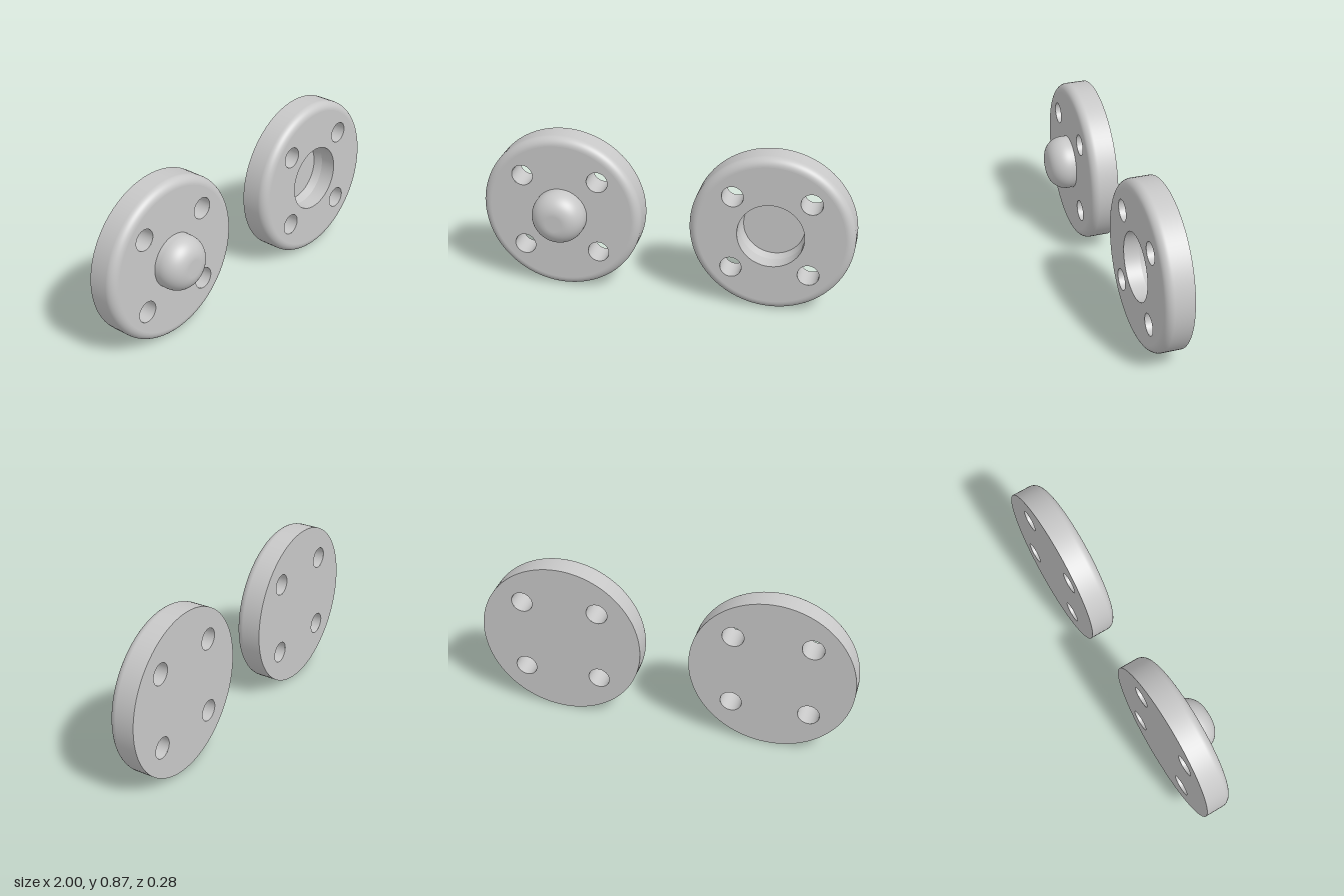
import * as THREE from 'three';

const R = 0.435, BACK = -0.138, FRONT = 0.008; // disc radius and faces
const ROUND = 0.045, HOLE_R = 0.057, HOLE_AT = 0.205;
const SOCKET_R = 0.177, FLOOR_R = 0.163, FLOOR_Z = -0.12;

export function createModel() {
  const grey = new THREE.MeshStandardMaterial({ color: 0xc8c8c8 });
  grey.name = 'grey';
  const model = new THREE.Group();
  model.name = 'ballAndSocketPair';

  const add = (parent, name, geometry) => {
    const mesh = new THREE.Mesh(geometry, grey);
    mesh.name = name;
    parent.add(mesh);
    return mesh;
  };

  // Surface turned around the z axis from [radius, z] pairs; falling z faces inward
  const turned = (pairs, segments = 96) =>
    new THREE.LatheGeometry(pairs.map(([r, z]) => new THREE.Vector2(r, z)), segments).rotateX(Math.PI / 2);

  // Quarter-round from a straight side to a flat front
  const quarter = (r, z, radius, steps = 12) =>
    Array.from({ length: steps + 1 }, (_, i) => {
      const a = (i / steps) * Math.PI / 2;
      return [r - radius + radius * Math.cos(a), z - radius + radius * Math.sin(a)];
    });

  const holes = [];
  for (const x of [-HOLE_AT, HOLE_AT]) for (const y of [-HOLE_AT, HOLE_AT]) holes.push([x, y]);

  // Flat round plate pierced by the four screw holes and, if given, a centre opening
  const plate = (radius, centreHole) => {
    const shape = new THREE.Shape().absarc(0, 0, radius, 0, Math.PI * 2);
    const cut = (x, y, r) => shape.holes.push(new THREE.Path().absarc(x, y, r, 0, Math.PI * 2, true));
    for (const [x, y] of holes) cut(x, y, HOLE_R);
    if (centreHole) cut(0, 0, centreHole);
    return new THREE.ShapeGeometry(shape, 48);
  };

  const disc = (name, x, centreHole) => {
    const group = new THREE.Group();
    group.name = name;
    group.position.set(x, R, 0);
    model.add(group);
    add(group, 'roundedRim', turned([[R, BACK], ...quarter(R, FRONT, ROUND)]));
    add(group, 'frontFace', plate(R - ROUND, centreHole).translate(0, 0, FRONT));
    add(group, 'backFace', plate(R).rotateY(Math.PI).translate(0, 0, BACK));
    for (const [hx, hy] of holes) {
      add(group, 'screwHole', turned([[HOLE_R, FRONT], [HOLE_R, BACK]], 48)).position.set(hx, hy, 0);
    }
    return group;
  };

  // Disc with the rounded knob
  const knobDisc = disc('knobDisc', -0.565);
  add(knobDisc, 'knob', turned([[0.145, FRONT], ...quarter(0.145, 0.138, 0.1, 20), [0, 0.138]]));

  // Disc with the matching socket
  const socketDisc = disc('socketDisc', 0.565, SOCKET_R);
  add(socketDisc, 'socketWall', turned([[SOCKET_R, FRONT], [SOCKET_R, -0.075]]));
  add(socketDisc, 'socketTaper', turned([[SOCKET_R, -0.075], [FLOOR_R, FLOOR_Z]]));
  add(socketDisc, 'socketFloor', new THREE.CircleGeometry(FLOOR_R, 96).translate(0, 0, FLOOR_Z));

  return model;
}
